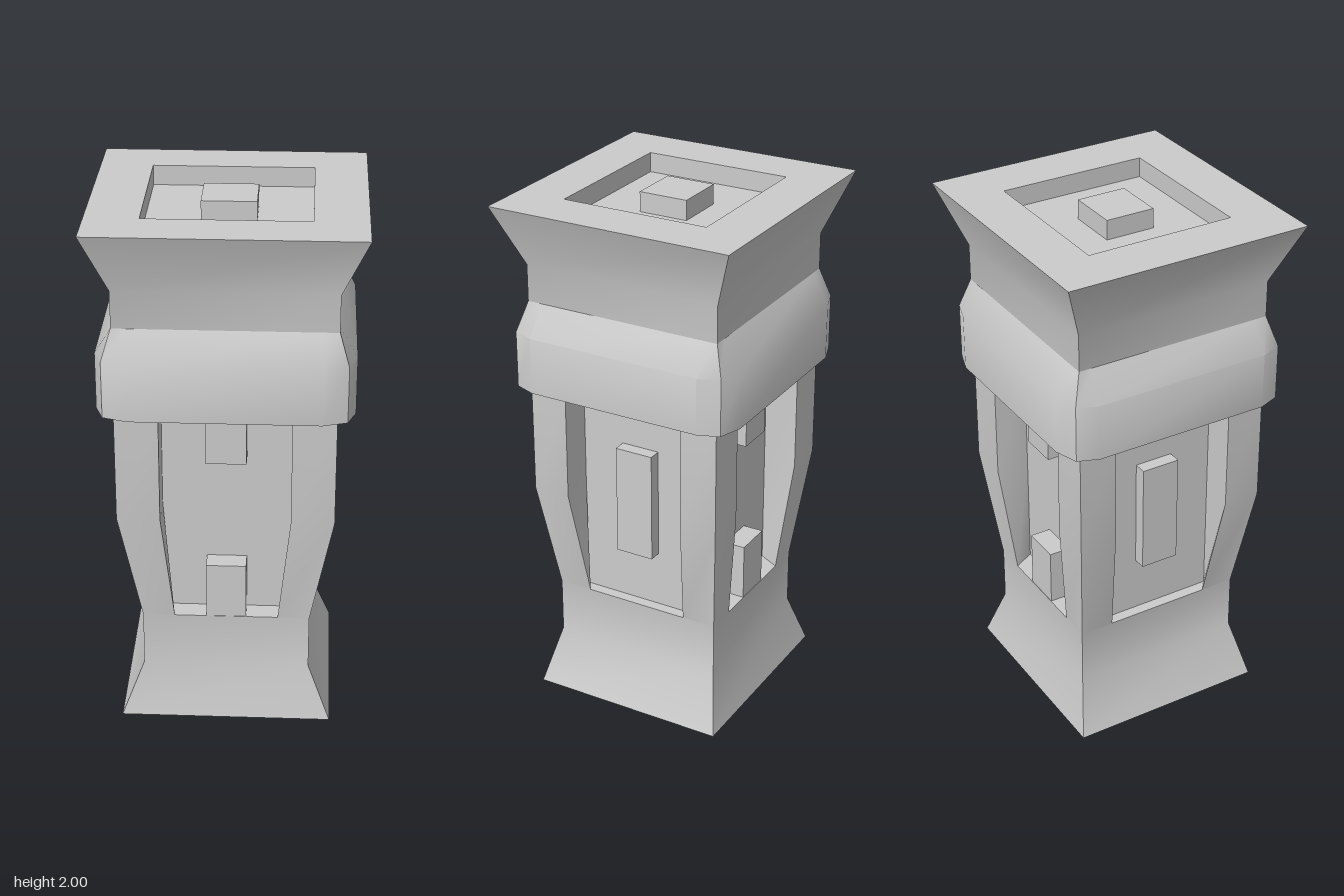
import * as THREE from 'three';
import { toCreasedNormals } from 'three/addons/utils/BufferGeometryUtils.js';

const material = new THREE.MeshStandardMaterial({ color: 0xcccccc });

// Collects quads (corners counter-clockwise from outside) into one geometry
function quadBuilder() {
  const pos = [];
  return {
    quad(a, b, c, d) { pos.push(...a, ...b, ...c, ...a, ...c, ...d); },
    mesh(name) {
      const g = new THREE.BufferGeometry();
      g.setAttribute('position', new THREE.Float32BufferAttribute(pos, 3));
      const m = new THREE.Mesh(toCreasedNormals(g, 0.6), material);
      m.name = name;
      return m;
    },
  };
}

// Side-local point (u along the side, w outward) to model space: front, left, back, right
const place = [
  (u, y, w) => [u, y, w],
  (u, y, w) => [w, y, -u],
  (u, y, w) => [-u, y, -w],
  (u, y, w) => [-w, y, u],
];

// Column profile: height, half width, half depth
const profile = [
  [0, 0.4, 0.385], [0.215, 0.315, 0.337], [0.43, 0.315, 0.337], [0.87, 0.4, 0.385],
  [1.3, 0.4, 0.385], [1.77, 0.4, 0.385], [2, 0.495, 0.475],
];
const PANEL_X = 0.272, PANEL_Z = 0.255, PANEL_HALF = 0.24;
const BOTTOM = 0.43, TOP = 1.3;
const RECESS = { x: 0.3, z: 0.285, y: 1.925 };

function column() {
  const b = quadBuilder();
  place.forEach((p, side) => {
    const even = side % 2 === 0;
    const panel = even ? PANEL_Z : PANEL_X;
    const sizes = profile.map(([y, x, z]) => (even ? [y, x, z] : [y, z, x]));
    // half width of the panel opening at the given profile row
    const opening = (i) => (i === 2 ? (even ? 0.195 : 0.205) : PANEL_HALF);

    for (let i = 0; i < sizes.length - 1; i++) {
      const [y0, u0, w0] = sizes[i], [y1, u1, w1] = sizes[i + 1];
      if (i !== 2 && i !== 3) {
        b.quad(p(-u0, y0, w0), p(u0, y0, w0), p(u1, y1, w1), p(-u1, y1, w1));
        continue;
      }
      // corner posts and the inner walls of the opening
      const o0 = opening(i), o1 = opening(i + 1), h = PANEL_HALF;
      b.quad(p(-u0, y0, w0), p(-o0, y0, w0), p(-o1, y1, w1), p(-u1, y1, w1));
      b.quad(p(o0, y0, w0), p(u0, y0, w0), p(u1, y1, w1), p(o1, y1, w1));
      b.quad(p(-o0, y0, w0), p(-h, y0, panel), p(-h, y1, panel), p(-o1, y1, w1));
      b.quad(p(h, y0, panel), p(o0, y0, w0), p(o1, y1, w1), p(h, y1, panel));
    }
    // sunken panel and its ledge
    const h = PANEL_HALF, o = opening(2), w = sizes[2][2];
    b.quad(p(-h, BOTTOM, panel), p(h, BOTTOM, panel), p(h, TOP, panel), p(-h, TOP, panel));
    b.quad(p(-o, BOTTOM, w), p(o, BOTTOM, w), p(h, BOTTOM, panel), p(-h, BOTTOM, panel));

    // top rim and the walls of the top recess
    const [yt, ut, wt] = sizes[sizes.length - 1];
    const [ru, rw] = even ? [RECESS.x, RECESS.z] : [RECESS.z, RECESS.x];
    b.quad(p(-ut, yt, wt), p(ut, yt, wt), p(ru, yt, rw), p(-ru, yt, rw));
    b.quad(p(-ru, yt, rw), p(ru, yt, rw), p(ru, RECESS.y, rw), p(-ru, RECESS.y, rw));
  });
  // recess floor and underside
  const { x, z, y } = RECESS;
  b.quad([-x, y, z], [x, y, z], [x, y, -z], [-x, y, -z]);
  const [, bx, bz] = profile[0];
  b.quad([-bx, 0, -bz], [bx, 0, -bz], [bx, 0, bz], [-bx, 0, bz]);
  return b.mesh('column');
}

// Collar with slightly faceted corners, sloping in to the column at its top
function collar() {
  const b = quadBuilder();
  const corner = [[0.465, 0.34], [0.435, 0.42], [0.345, 0.45]];
  const cornerTop = [[0.4, 0.33], [0.4, 0.385], [0.345, 0.385]];
  const ring = (pts) => {
    const back = [...pts].reverse();
    return [
      ...pts, ...back.map(([x, z]) => [-x, z]),
      ...pts.map(([x, z]) => [-x, -z]), ...back.map(([x, z]) => [x, -z]),
    ];
  };
  const outer = ring(corner), upper = ring(cornerTop);
  outer.forEach(([x0, z0], i) => {
    const j = (i + 1) % outer.length, [x1, z1] = outer[j];
    const [s0, t0] = upper[i], [s1, t1] = upper[j];
    b.quad([x1, 1.3, z1], [x0, 1.3, z0], [x0, 1.515, z0], [x1, 1.515, z1]);
    b.quad([x1, 1.515, z1], [x0, 1.515, z0], [s0, 1.63, t0], [s1, 1.63, t1]);
    // underside
    b.quad([x0, 1.3, z0], [x1, 1.3, z1], [x1 / 2, 1.3, z1 / 2], [x0 / 2, 1.3, z0 / 2]);
  });
  return b.mesh('collar');
}

function block(name, w, h, d, x, y, z) {
  const m = new THREE.Mesh(new THREE.BoxGeometry(w, h, d), material);
  m.name = name;
  m.position.set(x, y, z);
  return m;
}

export function createModel() {
  const group = new THREE.Group();
  group.name = 'pillar';
  group.add(column(), collar());

  // raised block in the top recess
  group.add(block('topBlock', 0.2, 0.075, 0.19, 0, 1.9625, 0));

  // raised blocks on the panels: two on front and back, one on each side
  for (const s of [1, -1]) {
    const end = s > 0 ? 'front' : 'back';
    group.add(block(end + 'LowerBlock', 0.15, 0.22, 0.08, 0, 0.54, s * 0.295));
    group.add(block(end + 'UpperBlock', 0.15, 0.22, 0.08, 0, 1.19, s * 0.295));
    group.add(block(s > 0 ? 'leftBlock' : 'rightBlock', 0.05, 0.43, 0.15, s * 0.297, 0.865, 0));
  }
  return group;
}
